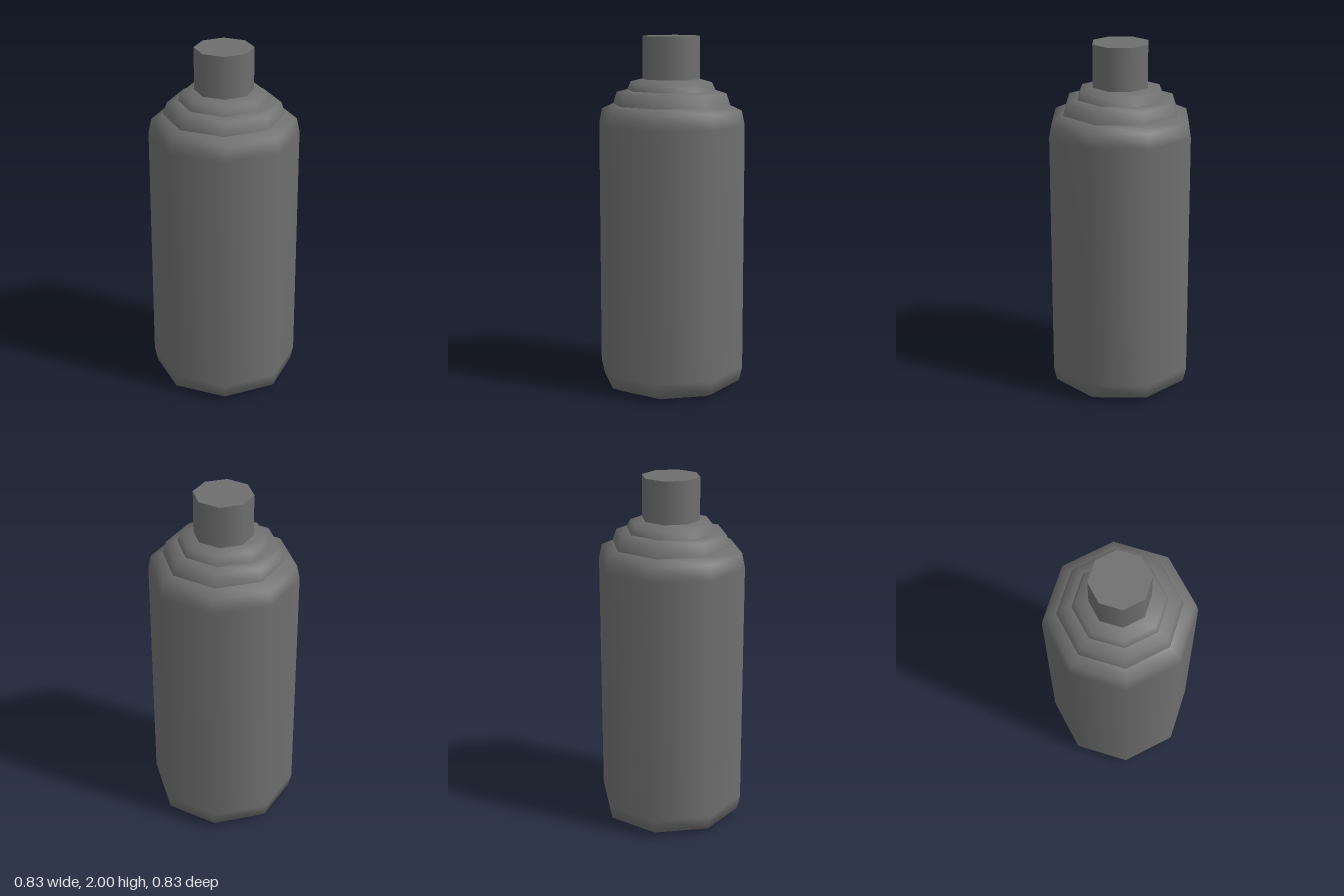
import * as THREE from 'three';

const SIDES = 8;

export function createModel() {
  const group = new THREE.Group();
  const material = new THREE.MeshStandardMaterial({ color: 0x6f6f6f, side: THREE.DoubleSide });

  // One octagonal, smooth-shaded section turned from a [radius, height] profile
  const turn = (name, profile) => {
    const points = profile.map(([r, y]) => new THREE.Vector2(r, y));
    const geometry = new THREE.LatheGeometry(points, SIDES);
    geometry.normalizeNormals(); // the lathe leaves its last ring unnormalised
    const mesh = new THREE.Mesh(geometry, material);
    mesh.name = name;
    group.add(mesh);
  };

  // Body with bevelled foot and shoulder, open underneath
  turn('body', [[0.333, 0], [0.4, 0.03], [0.417, 0.11], [0.417, 1.51], [0.4, 1.59], [0.335, 1.62]]);

  // Two stepped collars
  turn('lowerCollar', [[0.335, 1.62], [0.313, 1.685], [0.252, 1.7]]);
  turn('upperCollar', [[0.252, 1.7], [0.232, 1.745], [0.163, 1.762]]);

  // Neck and its flat lid
  turn('neck', [[0.163, 1.762], [0.163, 2]]);
  turn('neckTop', [[0.163, 2], [0, 2]]);

  return group;
}
